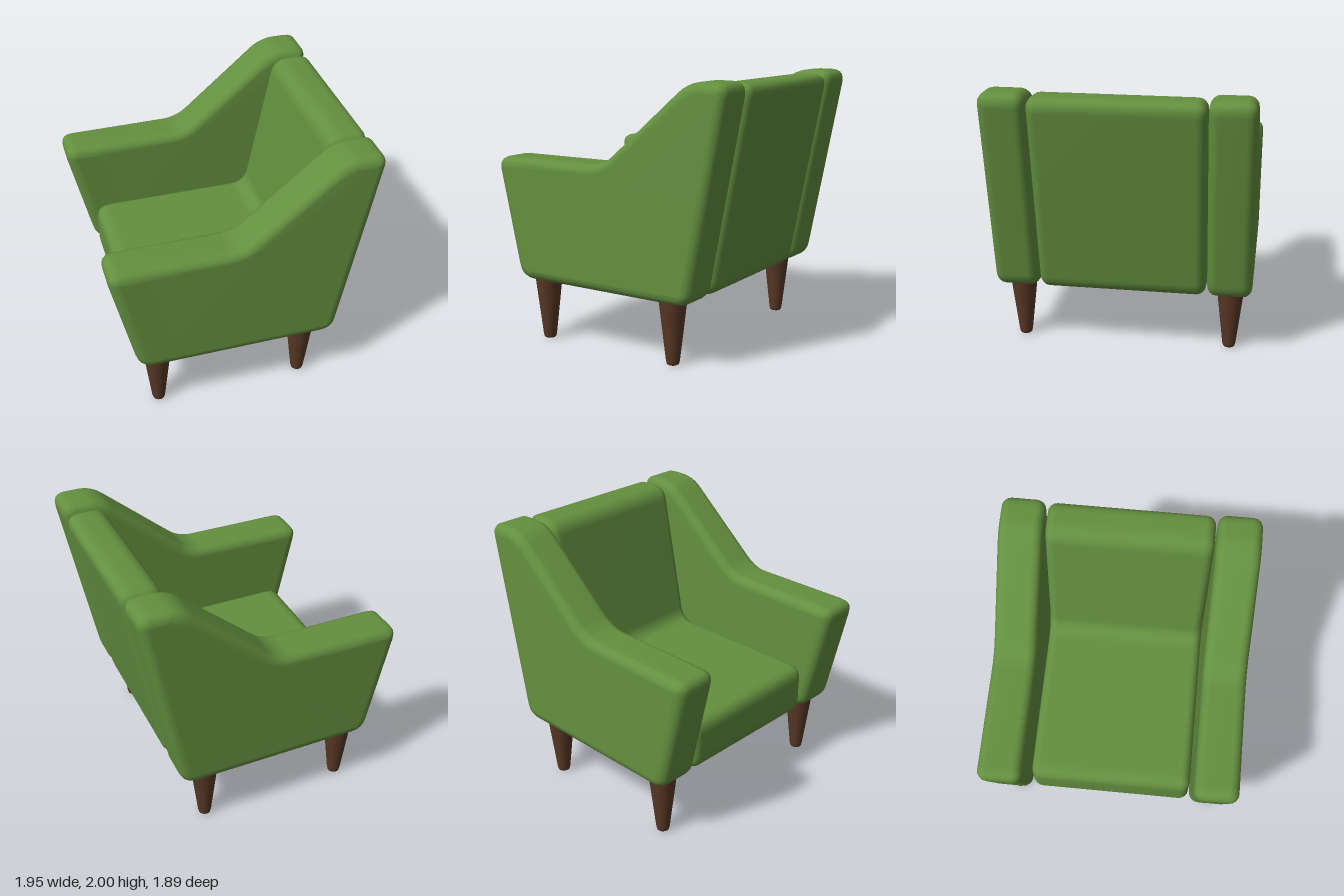
import * as THREE from 'three';
import { mergeVertices } from 'three/addons/utils/BufferGeometryUtils.js';

// Closed outline whose corners are rounded by distance d
function roundedOutline(points, d) {
  const shape = new THREE.Shape();
  const pts = points.map(([x, y]) => new THREE.Vector2(x, y));
  const toward = (a, b) => b.clone().sub(a).setLength(d).add(a);
  pts.forEach((p, i) => {
    const start = toward(p, pts[(i + pts.length - 1) % pts.length]);
    const end = toward(p, pts[(i + 1) % pts.length]);
    if (i === 0) shape.moveTo(start.x, start.y);
    else shape.lineTo(start.x, start.y);
    shape.quadraticCurveTo(p.x, p.y, end.x, end.y);
  });
  shape.closePath();
  return shape;
}

// Soft padded slab: a side profile given width along z, with rounded edges
function cushion(points, width) {
  const bevel = 0.07;
  const geo = new THREE.ExtrudeGeometry(roundedOutline(points, 0.11), {
    depth: width - 2 * bevel,
    bevelThickness: bevel,
    bevelSize: bevel,
    bevelOffset: -bevel,
    bevelSegments: 4,
    curveSegments: 5,
  });
  geo.translate(0, 0, bevel - width / 2);
  geo.deleteAttribute('normal');
  geo.deleteAttribute('uv');
  const smooth = mergeVertices(geo, 1e-4);
  smooth.computeVertexNormals();
  return smooth;
}

export function createModel() {
  const fabric = new THREE.MeshStandardMaterial({ color: 0x64903f });
  fabric.name = 'green fabric';
  const wood = new THREE.MeshStandardMaterial({ color: 0x583825 });
  wood.name = 'dark wood';

  const chair = new THREE.Group();
  chair.name = 'armchair';
  const add = (name, geo, mat, x, z) => {
    const mesh = new THREE.Mesh(geo, mat);
    mesh.name = name;
    mesh.position.set(x, 0, z);
    chair.add(mesh);
  };

  // Seat and backrest in one L-shaped cushion, opening toward -x
  add('seatAndBack', cushion([
    [-0.79, 0.472], [0.697, 0.472], [0.988, 1.98],
    [0.68, 1.98], [0.46, 0.87], [-0.79, 0.87],
  ], 1.22), fabric, 0, 0);

  // Side panels with sloping armrests
  const armGeo = cushion([
    [-0.79, 0.472], [0.697, 0.472], [0.99, 2.0],
    [0.68, 2.0], [-0.03, 1.39], [-0.995, 1.385],
  ], 0.325);

  // Tapered legs with softened feet
  const legGeo = new THREE.LatheGeometry([
    [0, 0], [0.036, 0], [0.044, 0.006], [0.05, 0.03], [0.1, 0.46], [0.1, 0.49], [0, 0.5],
  ].map(([r, y]) => new THREE.Vector2(r, y)), 24);

  for (const side of [-1, 1]) {
    const z = side * 0.782;
    add(side > 0 ? 'armPlusZ' : 'armMinusZ', armGeo, fabric, 0, z);
    add('seatFrontLeg', legGeo, wood, -0.637, z);
    add('backrestLeg', legGeo, wood, 0.48, z);
  }
  return chair;
}
